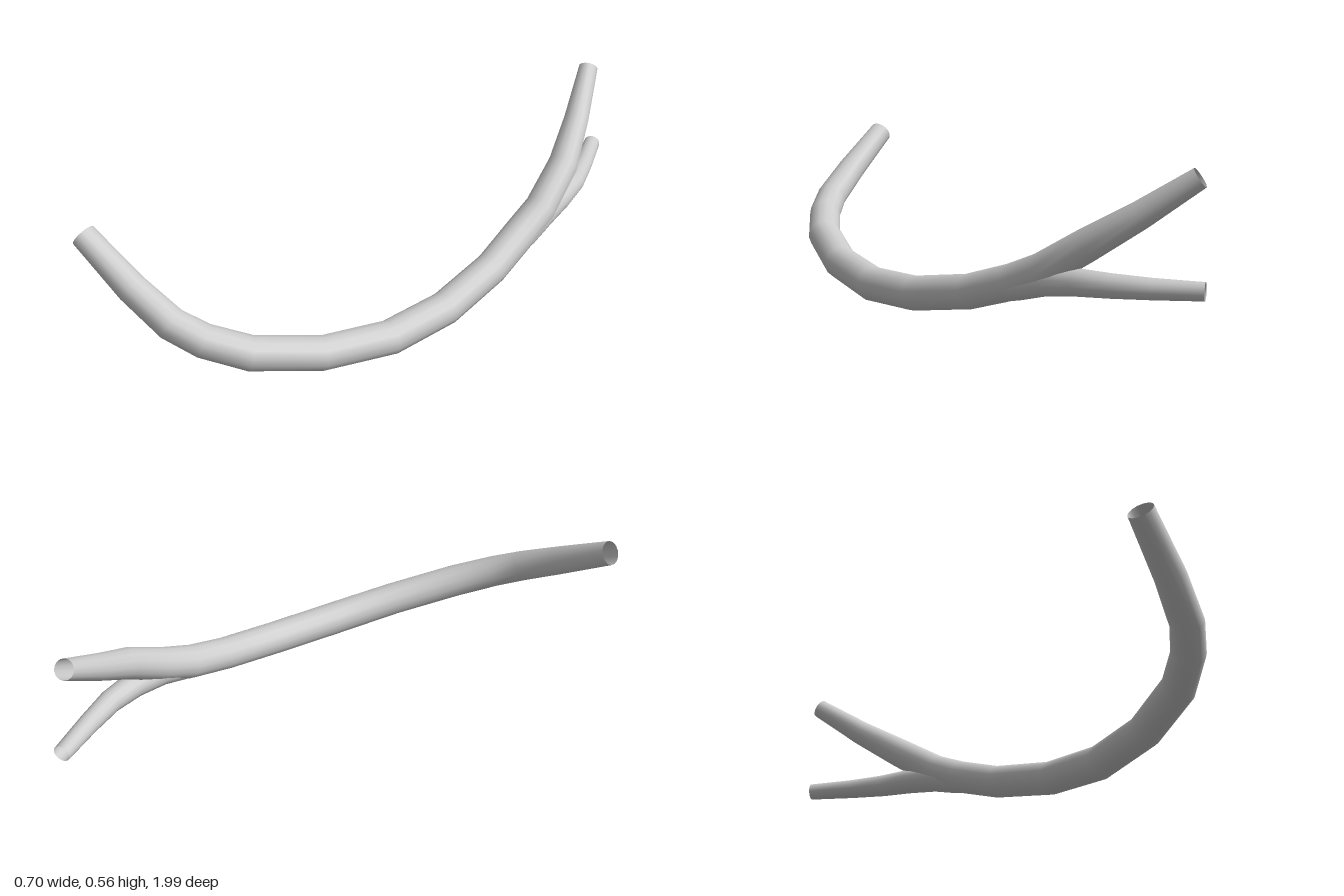
import * as THREE from 'three';

const SIDES = 14;

// Open tube through rows of [x, y, z, radius], with a mitred ring at each row
function taperedTube(name, rows, material) {
  const pts = rows.map(([x, y, z]) => new THREE.Vector3(x, y, z));
  const positions = [], index = [];
  const normal = new THREE.Vector3(0, 1, 0);
  pts.forEach((p, i) => {
    const before = pts[Math.max(i - 1, 0)], after = pts[Math.min(i + 1, pts.length - 1)];
    const tangent = after.clone().sub(before).normalize();
    // carry the ring's frame along the path so the tube does not twist
    normal.addScaledVector(tangent, -normal.dot(tangent)).normalize();
    const side = tangent.clone().cross(normal);
    for (let j = 0; j < SIDES; j++) {
      const a = (j / SIDES) * Math.PI * 2;
      const v = p.clone()
        .addScaledVector(normal, Math.cos(a) * rows[i][3])
        .addScaledVector(side, Math.sin(a) * rows[i][3]);
      positions.push(v.x, v.y, v.z);
      if (i < pts.length - 1) {
        const k = (j + 1) % SIDES, r = i * SIDES, n = r + SIDES;
        index.push(r + j, r + k, n + j, r + k, n + k, n + j);
      }
    }
  });
  const geometry = new THREE.BufferGeometry();
  geometry.setAttribute('position', new THREE.Float32BufferAttribute(positions, 3));
  geometry.setIndex(index);
  geometry.computeVertexNormals();
  const mesh = new THREE.Mesh(geometry, material);
  mesh.name = name;
  return mesh;
}

export function createModel() {
  const group = new THREE.Group();
  group.name = 'forkedTube';
  const material = new THREE.MeshStandardMaterial({ color: 0xcccccc, side: THREE.DoubleSide });

  // Curved trunk, running on into the upper branch
  group.add(taperedTube('trunkAndUpperBranch', [
    [-0.322, 0.443, 0.955, 0.042],
    [-0.135, 0.322, 0.90, 0.050],
    [0.0, 0.238, 0.845, 0.054],
    [0.08, 0.19, 0.78, 0.056],
    [0.165, 0.138, 0.665, 0.058],
    [0.25, 0.086, 0.45, 0.058],
    [0.293, 0.06, 0.21, 0.059],
    [0.293, 0.071, -0.02, 0.058],
    [0.26, 0.115, -0.25, 0.057],
    [0.222, 0.17, -0.41, 0.058],
    [0.202, 0.222, -0.52, 0.056],
    [0.152, 0.32, -0.665, 0.053],
    [0.068, 0.42, -0.80, 0.044],
    [-0.03, 0.538, -0.94, 0.034],
  ], material));

  // Lower branch, starting inside the trunk
  group.add(taperedTube('lowerBranch', [
    [0.246, 0.135, -0.31, 0.046],
    [0.222, 0.167, -0.43, 0.052],
    [0.202, 0.192, -0.53, 0.048],
    [0.173, 0.204, -0.64, 0.044],
    [0.133, 0.206, -0.745, 0.039],
    [0.07, 0.206, -0.85, 0.034],
    [-0.018, 0.208, -0.982, 0.029],
  ], material));

  return group;
}
